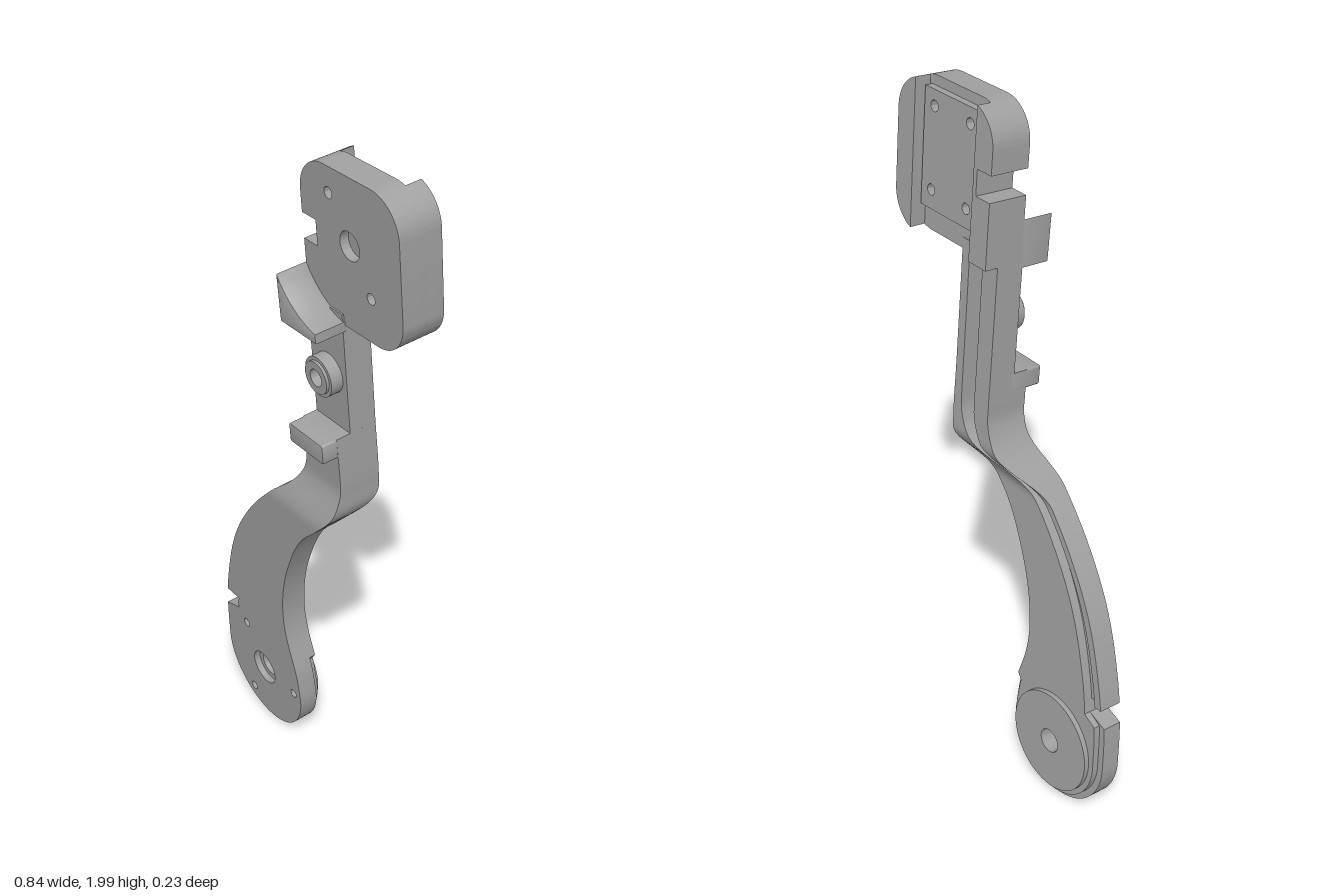
import * as THREE from 'three';
import { toCreasedNormals } from 'three/addons/utils/BufferGeometryUtils.js';

const grey = new THREE.MeshStandardMaterial({ color: 0xa0a0a0 });
grey.name = 'plain grey';

const V = (x, y) => new THREE.Vector2(x, y);
const lerp = THREE.MathUtils.lerp, step = THREE.MathUtils.smoothstep;

// polygon outline with optional corner radius per point: [x, y, r]
function outline(pts) {
  const s = new THREE.Shape(), n = pts.length, K = 0.5523;
  pts.forEach(([x, y, r = 0], i) => {
    const p = V(x, y), to = (q) => V(q[0], q[1]).sub(p).normalize();
    const u = to(pts[(i + n - 1) % n]), v = to(pts[(i + 1) % n]);
    const a = p.clone().addScaledVector(u, r), b = p.clone().addScaledVector(v, r);
    if (i) s.lineTo(a.x, a.y); else s.moveTo(a.x, a.y);
    if (r) {
      const c = p.clone().addScaledVector(u, r * (1 - K)), d = p.clone().addScaledVector(v, r * (1 - K));
      s.bezierCurveTo(c.x, c.y, d.x, d.y, b.x, b.y);
    }
  });
  return s.getPoints(20);
}

// flat part between two depths, holes given as [x, y, r]
function slab(name, pts, z0, z1, holes = [], bevel = 0) {
  const s = new THREE.Shape(pts);
  for (const [x, y, r] of holes) s.holes.push(new THREE.Path().absarc(x, y, r, 0, Math.PI * 2, true));
  const g = new THREE.ExtrudeGeometry(s, {
    depth: z1 - z0 - 2 * bevel, curveSegments: 32, bevelEnabled: bevel > 0,
    bevelThickness: bevel, bevelSize: bevel, bevelOffset: -bevel, bevelSegments: 2,
  });
  g.translate(0, 0, z0 + bevel);
  return mesh(name, g);
}

function mesh(name, geo) {
  const m = new THREE.Mesh(toCreasedNormals(geo, 0.5), grey);
  m.name = name;
  return m;
}

const rect = (x0, x1, y0, y1, r = 0) => outline([[x0, y0, r], [x1, y0, r], [x1, y1, r], [x0, y1, r]]);

function circle(x, y, r, a0 = 0, a1 = Math.PI * 2, n = 64) {
  return Array.from({ length: n }, (_, i) => {
    const a = lerp(a0, a1, i / n);
    return V(x + r * Math.cos(a), y + r * Math.sin(a));
  });
}

// side edges of the arm as functions of height
function edge(ys, xs) {
  const c = new THREE.CubicInterpolant(ys, xs, 1, new Float32Array(1));
  return (y) => c.evaluate(y)[0];
}
const leftEdge = edge([0.195, 0.33, 0.465, 0.677, 0.836, 0.958, 1.03, 1.11, 1.18, 1.26],
  [-0.424, -0.413, -0.386, -0.307, -0.2, -0.085, -0.005, 0.036, 0.04, 0.04]);
const rightEdge = edge([0.195, 0.28, 0.41, 0.49, 0.61, 0.73, 0.86, 0.937, 1.0, 1.06, 1.26],
  [-0.044, -0.052, -0.085, -0.092, -0.074, -0.03, 0.045, 0.122, 0.177, 0.185, 0.185]);

// arm cross-section as (x, z): flat front, back with a cable groove
function armSection(y) {
  const L = leftEdge(y), R = rightEdge(y), k = step(y, 0.88, 1.08);
  const front = lerp(-0.03, -0.077, step(y, 0.94, 1.09));
  const drop = step(y, 0.91, 1.05);
  const back = lerp(-0.107, -0.201, drop), floor = lerp(-0.08, -0.15, drop);
  const lip = lerp(-0.1, -0.201, drop);
  const g0 = L + lerp(0.025, 0.06, k), g1 = L + lerp(0.06, 0.115, k);
  return [[L, front], [R, front], [R, back], [g1, back], [g1, floor], [g0, floor], [g0, lip], [L, lip]];
}

function armLoft(y0, y1, n) {
  const pos = [];
  const put = (y, ...ps) => ps.forEach(([x, z]) => pos.push(x, y, z));
  const cap = (y, flip) => {
    const s = armSection(y);
    for (const [a, b, c] of THREE.ShapeUtils.triangulateShape(s.map(([x, z]) => V(x, -z)), []))
      flip ? put(y, s[a], s[c], s[b]) : put(y, s[a], s[b], s[c]);
  };
  for (let i = 0; i < n; i++) {
    const ya = lerp(y0, y1, i / n), yb = lerp(y0, y1, (i + 1) / n);
    const a = armSection(ya), b = armSection(yb);
    for (let j = 0; j < a.length; j++) {
      const k = (j + 1) % a.length;
      put(ya, a[j], a[k]); put(yb, b[k]);
      put(ya, a[j]); put(yb, b[k], b[j]);
    }
  }
  cap(y0, true);
  cap(y1, false);
  const g = new THREE.BufferGeometry();
  g.setAttribute('position', new THREE.Float32BufferAttribute(pos, 3));
  return g;
}

export function createModel() {
  const model = new THREE.Group();
  model.name = 'leverArm';
  const body = new THREE.Group();
  body.name = 'leaningBody';
  body.rotation.x = 0.09;
  model.add(body);
  const add = (...m) => body.add(...m);

  // rounded pivot pad at the foot of the arm
  const cx = -0.234, cy = 0.19;
  const padOutline = (inset) => {
    const pts = circle(cx, cy, 0.19 - inset, Math.PI, Math.PI * 2, 40);
    for (let y = 0.195; y < 0.402; y += 0.0205) pts.push(V(rightEdge(y) - (y < 0.3 ? inset : 0), y));
    for (let y = 0.4; y > 0.2; y -= 0.0205) pts.push(V(leftEdge(y) + (y > 0.34 ? 0.06 : inset), y));
    return pts;
  };
  const pins = [[-0.31, 0.322, 0.014], [-0.08, 0.192, 0.014], [-0.31, 0.058, 0.014]];
  add(slab('pivotPadFront', padOutline(0), -0.05, -0.03, [[cx, cy, 0.055], ...pins]));
  add(slab('pivotPadMiddle', padOutline(0), -0.088, -0.05, [[cx, cy, 0.036], ...pins]));
  add(slab('pivotPadBack', padOutline(0.02), -0.107, -0.088, [[cx, cy, 0.036]]));
  add(slab('pivotDisc', circle(cx, cy, 0.153), -0.122, -0.107, [[cx, cy, 0.036]]));

  // curved arm with its bend
  add(mesh('curvedArm', armLoft(0.4, 1.25, 70)));

  // straight neck with a channel at the back
  const boss = [0.113, 1.402];
  add(slab('neckFloor', rect(0.04, 0.185, 1.245, 1.6), -0.15, -0.12, [[...boss, 0.024]]));
  add(slab('neckWallLeft', rect(0.155, 0.185, 1.245, 1.6), -0.201, -0.15));
  add(slab('neckWallRight', rect(0.04, 0.1, 1.245, 1.6), -0.201, -0.15));

  // hollow boss, ledge and curved tab on the neck front
  add(slab('bossBase', circle(...boss, 0.056), -0.121, -0.085, [[...boss, 0.024]]));
  add(slab('bossRim', circle(...boss, 0.046), -0.086, -0.077, [[...boss, 0.024]]));
  add(slab('ledge', rect(0.04, 0.185, 1.193, 1.25, 0.006), -0.13, -0.03, [], 0.004));
  const tab = [V(0.04, 1.553), V(0.188, 1.553)];
  for (let i = 0; i <= 12; i++) {
    const x = lerp(0.188, 0.04, i / 12);
    tab.push(V(x, 1.796 - Math.sqrt(0.22 ** 2 - (0.23 - x) ** 2)));
  }
  add(slab('curvedTab', tab, -0.13, -0.035, [], 0.004));

  // square head with a side notch
  const head = outline([
    [0.04, 1.57], [0.11, 1.57], [0.42, 1.57, 0.1], [0.42, 1.982, 0.1], [0.04, 1.982, 0.1],
    [0.04, 1.82], [0.095, 1.82], [0.095, 1.75], [0.04, 1.75],
  ]);
  const through = [[0.155, 1.913, 0.015], [0.301, 1.692, 0.015]];
  const blind = [[0.301, 1.913, 0.015], [0.155, 1.692, 0.015]];
  add(slab('headFront', head, -0.15, -0.125, [[0.228, 1.802, 0.038], ...through]));
  add(slab('headCore', head, -0.2, -0.15, through));
  add(slab('headWallLeft', head.filter((p) => p.x >= 0.345), -0.246, -0.2));
  add(slab('headWallRight', head.filter((p) => p.x <= 0.1101), -0.24, -0.2));
  add(slab('headBackPlate', rect(0.115, 0.342, 1.64, 1.955), -0.222, -0.2, [...through, ...blind]));

  return model;
}
